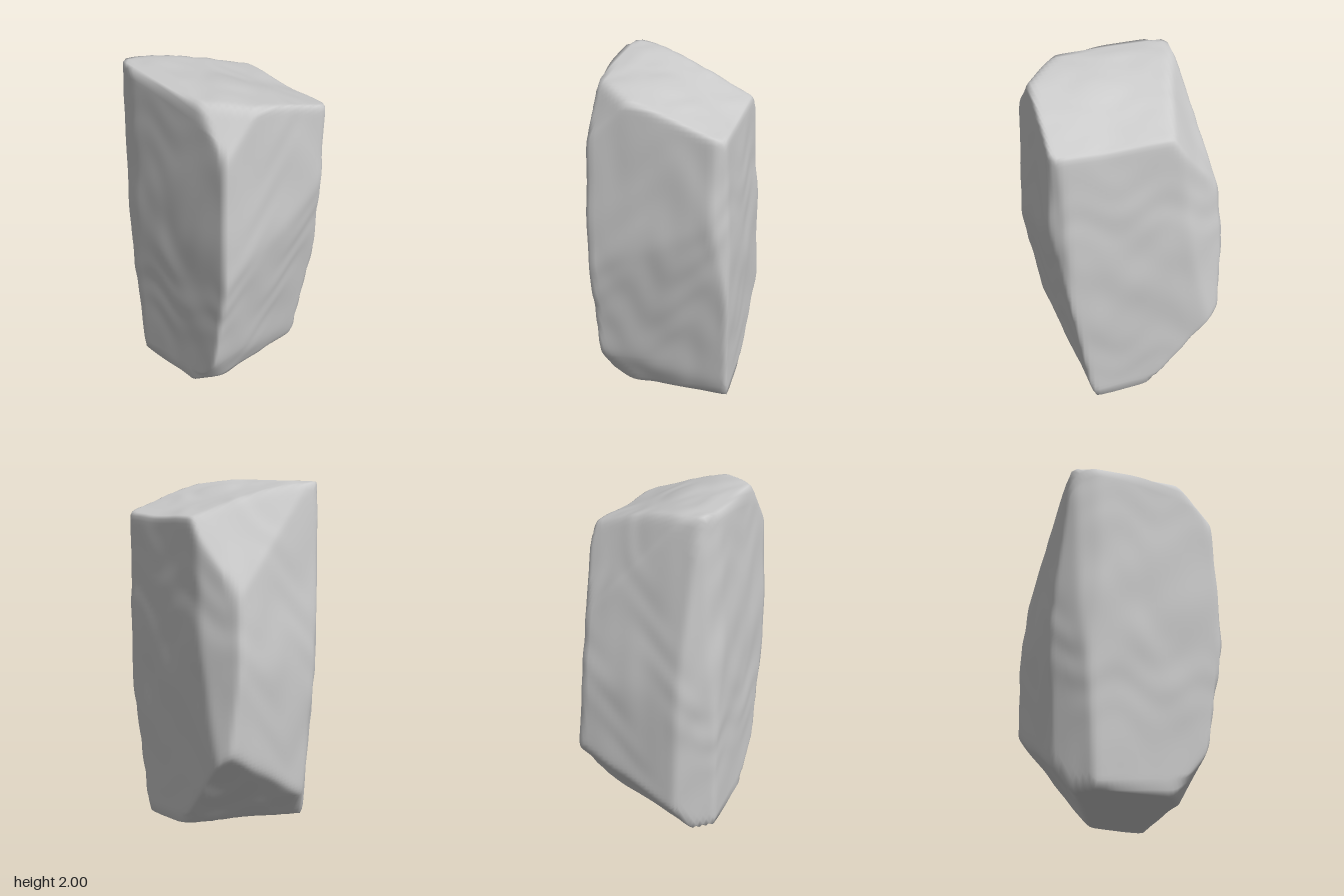
import * as THREE from 'three';
import { mergeVertices } from 'three/addons/utils/BufferGeometryUtils.js';

// Facets of the stone: yaw (0 = front, 90 = +x), pitch upward, distance from its middle
const FACETS = [
  // top slope in two steps, then the rear top facet and the chipped front corner
  [90, 81.9, 0.95], [90, 69.6, 0.89], [152.6, 29.3, 0.69], [-38.7, 32, 0.914],
  // front, from top to bottom, and its small lower corner
  [-0.4, 2.2, 0.527], [5.6, -9.5, 0.491], [2.1, -21.8, 0.638], [-32, -33.8, 0.858],
  // +x side, upper and lower, and the upright chamfer to the front
  [90, 2.1, 0.424], [90, -1.7, 0.422], [48, 0, 0.595],
  // -x side, upper and lower
  [-87, 2.1, 0.424], [-87, -1.5, 0.413],
  // back, upper and lower
  [-175.4, 4.7, 0.5], [-174.9, -2.9, 0.503],
  // upright chamfers at the back, three on the -x side and one on the +x side
  [-105.3, 1.3, 0.476], [-133, 0, 0.524], [-133, -4, 0.522], [116.6, 4.4, 0.515],
  // rear underside and base
  [158, -38.3, 0.777], [-178.6, -32.6, 0.855], [0, -90, 1.005],
];

// Outward normal divided by distance, so that n.p = 1 on the facet
function facetNormal([yaw, pitch, distance]) {
  const polar = THREE.MathUtils.degToRad(90 - pitch);
  return new THREE.Vector3()
    .setFromSphericalCoords(1 / distance, polar, THREE.MathUtils.degToRad(yaw));
}

// Smooth, irregular surface unevenness
function bumps({ x, y, z }) {
  return 0.003 * Math.sin(7 * x + 4 * y + 2.5 * Math.sin(5 * z + 3 * y))
    + 0.003 * Math.sin(11 * z - 9 * y + 2.5 * Math.sin(8 * x + 2 * y))
    + 0.002 * Math.sin(17 * y + 2.5 * Math.sin(13 * x - 5 * y) + 2 * Math.sin(12 * z));
}

function stoneGeometry() {
  const box = new THREE.BoxGeometry(0.84, 2, 1.02, 28, 64, 34);
  box.deleteAttribute('uv');
  box.deleteAttribute('normal');
  const geo = mergeVertices(box, 1e-4);
  const normals = FACETS.map(facetNormal);
  const pos = geo.attributes.position;
  const p = new THREE.Vector3();
  const sharpness = 90;

  // Pull every vertex onto the softly blended facets
  for (let i = 0; i < pos.count; i++) {
    p.fromBufferAttribute(pos, i);
    const sum = normals.reduce((s, n) => s + Math.max(0, n.dot(p)) ** sharpness, 0);
    p.divideScalar(sum ** (1 / sharpness));
    p.multiplyScalar(1 + bumps(p) / p.length());
    // Worn flat at the very top and at the base
    pos.setXYZ(i, p.x, THREE.MathUtils.clamp(p.y, -1, 1), p.z);
  }
  geo.computeVertexNormals();
  return geo;
}

export function createModel() {
  const group = new THREE.Group();
  group.name = 'standingStone';
  const material = new THREE.MeshStandardMaterial({ color: 0xcccccc });
  material.name = 'stone grey';
  const stone = new THREE.Mesh(stoneGeometry(), material);
  stone.name = 'stone';
  stone.position.y = 1;
  group.add(stone);
  return group;
}
